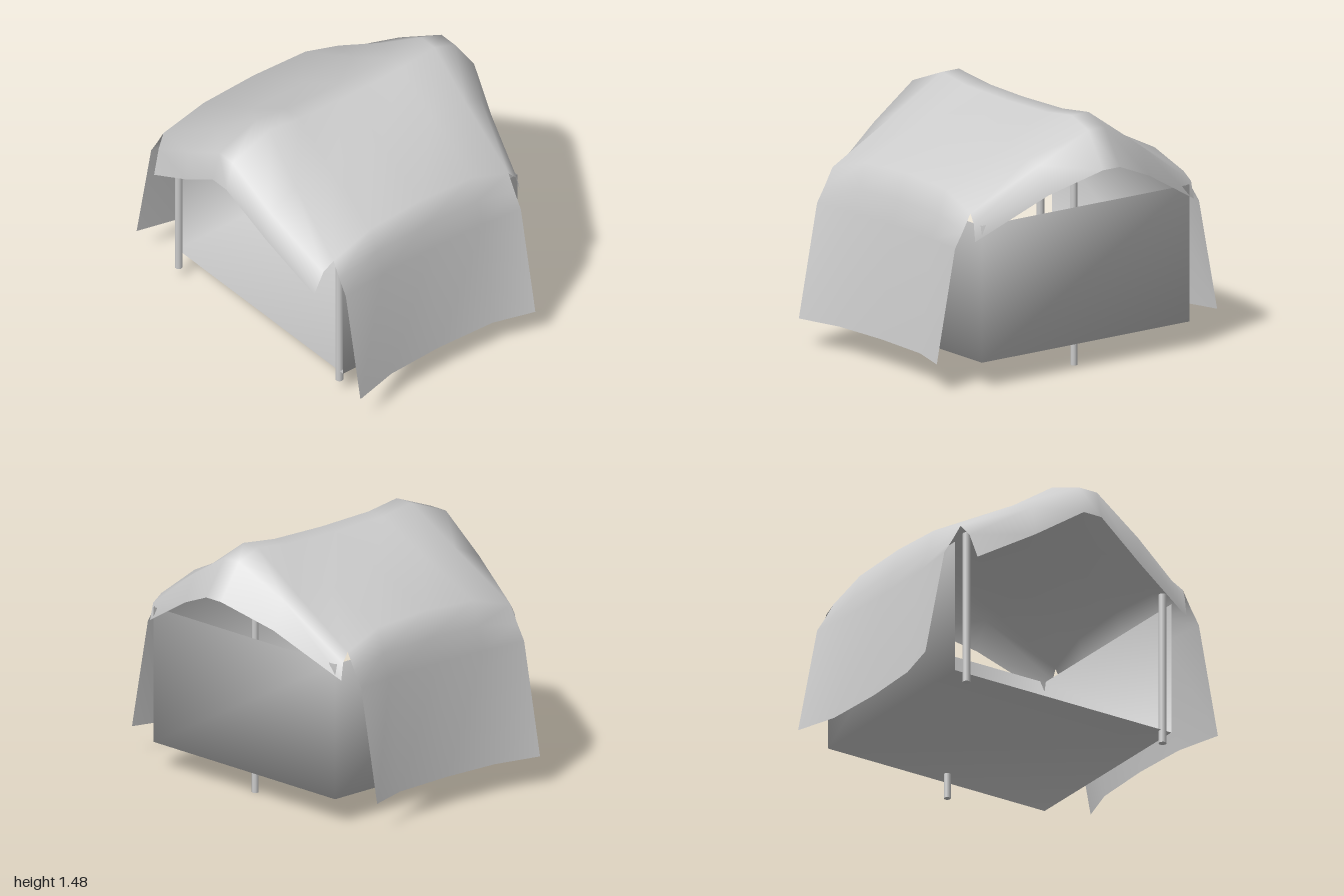
import * as THREE from 'three';

const material = new THREE.MeshStandardMaterial({ color: 0xcccccc, side: THREE.DoubleSide });

function indexedMesh(name, positions, index) {
  const geometry = new THREE.BufferGeometry();
  geometry.setAttribute('position', new THREE.Float32BufferAttribute(positions, 3));
  geometry.setIndex(index);
  geometry.computeVertexNormals();
  const mesh = new THREE.Mesh(geometry, material);
  mesh.name = name;
  return mesh;
}

// Half cross-section [x, y, z] of the main cloth, from the hem up to the ridge.
// flare: 1 at the drooping ends, 0 in the middle, where the eave is fuller.
function mainColumn(ridgeX, ridgeY, eaveX, flare) {
  return [
    [eaveX, 0.165, 0.91 + 0.09 * flare],
    [eaveX, 0.82, 0.835 + 0.035 * flare],
    [eaveX, 0.96 - 0.05 * flare, 0.785 + 0.03 * flare],
    [eaveX, 1.115 - 0.105 * flare, 0.745 + 0.015 * flare],
    [(ridgeX + eaveX) / 2, 1.285 - 0.02 * flare, 0.36],
    [ridgeX, ridgeY, 0.06],
  ];
}

// Gable columns stop at the eave, so their lower rows collapse onto it.
const gableColumn = (eave, mid, ridge) => [eave, eave, eave, eave, mid, ridge];

// Canopy: sagging ridge, long hanging sides and a drooping hood at each end.
function canopy() {
  const columns = [
    gableColumn([-0.80, 0.79, 0.715], [-0.86, 1.0, 0.36], [-0.905, 1.20, 0.06]),
    gableColumn([-0.75, 0.94, 0.735], [-0.83, 1.18, 0.36], [-0.86, 1.37, 0.06]),
    mainColumn(-0.59, 1.475, -0.695, 1),
    mainColumn(-0.37, 1.445, -0.41, 0.2),
    mainColumn(0, 1.437, -0.05, 0),
    mainColumn(0.37, 1.445, 0.33, 0.17),
    mainColumn(0.61, 1.475, 0.58, 1),
    gableColumn([0.63, 0.96, 0.775], [0.70, 1.25, 0.36], [0.76, 1.42, 0.06]),
    gableColumn([0.65, 0.86, 0.78], [0.78, 1.09, 0.36], [0.90, 1.215, 0.06]),
  ];
  const positions = [], index = [], rows = 12;
  for (const half of columns) {
    for (const [x, y, z] of half) positions.push(x, y, -z);
    for (const [x, y, z] of [...half].reverse()) positions.push(x, y, z);
  }
  for (let i = 0; i < columns.length - 1; i++) {
    const isGable = i < 2 || i > 5;
    const first = isGable ? 3 : 0;
    for (let j = first; j < rows - 1 - first; j++) {
      const a = i * rows + j, b = a + 1, c = a + rows, d = c + 1;
      index.push(a, b, c, b, d, c);
    }
  }
  return indexedMesh('canopy', positions, index);
}

// Cloth tub: floor with three walls, open at the top and at one end.
function clothWalls() {
  const x0 = -0.61, x1 = 0.66, y0 = 0.15, y1 = 0.95, z = 0.74;
  const positions = [];
  for (const y of [y0, y1]) positions.push(x0, y, z, x1, y, z, x1, y, -z, x0, y, -z);
  const index = [0, 2, 1, 0, 3, 2];
  for (let i = 0; i < 3; i++) index.push(i, i + 1, i + 5, i, i + 5, i + 4);
  return indexedMesh('floorAndWalls', positions, index);
}

function pole(name, x, z, bottom, top, radius) {
  const geometry = new THREE.CylinderGeometry(radius, radius, top - bottom, 10);
  const mesh = new THREE.Mesh(geometry, material);
  mesh.position.set(x, (bottom + top) / 2, z);
  mesh.name = name;
  return mesh;
}

export function createModel() {
  const group = new THREE.Group();
  group.name = 'canvasShelter';
  group.add(
    canopy(),
    clothWalls(),
    pole('centrePole', 0.565, 0.01, 0, 1.44, 0.02),
    pole('frontCornerPole', -0.595, 0.69, 0.075, 1.0, 0.023),
    pole('backCornerPole', -0.645, -0.685, 0.075, 1.0, 0.023),
  );
  return group;
}
